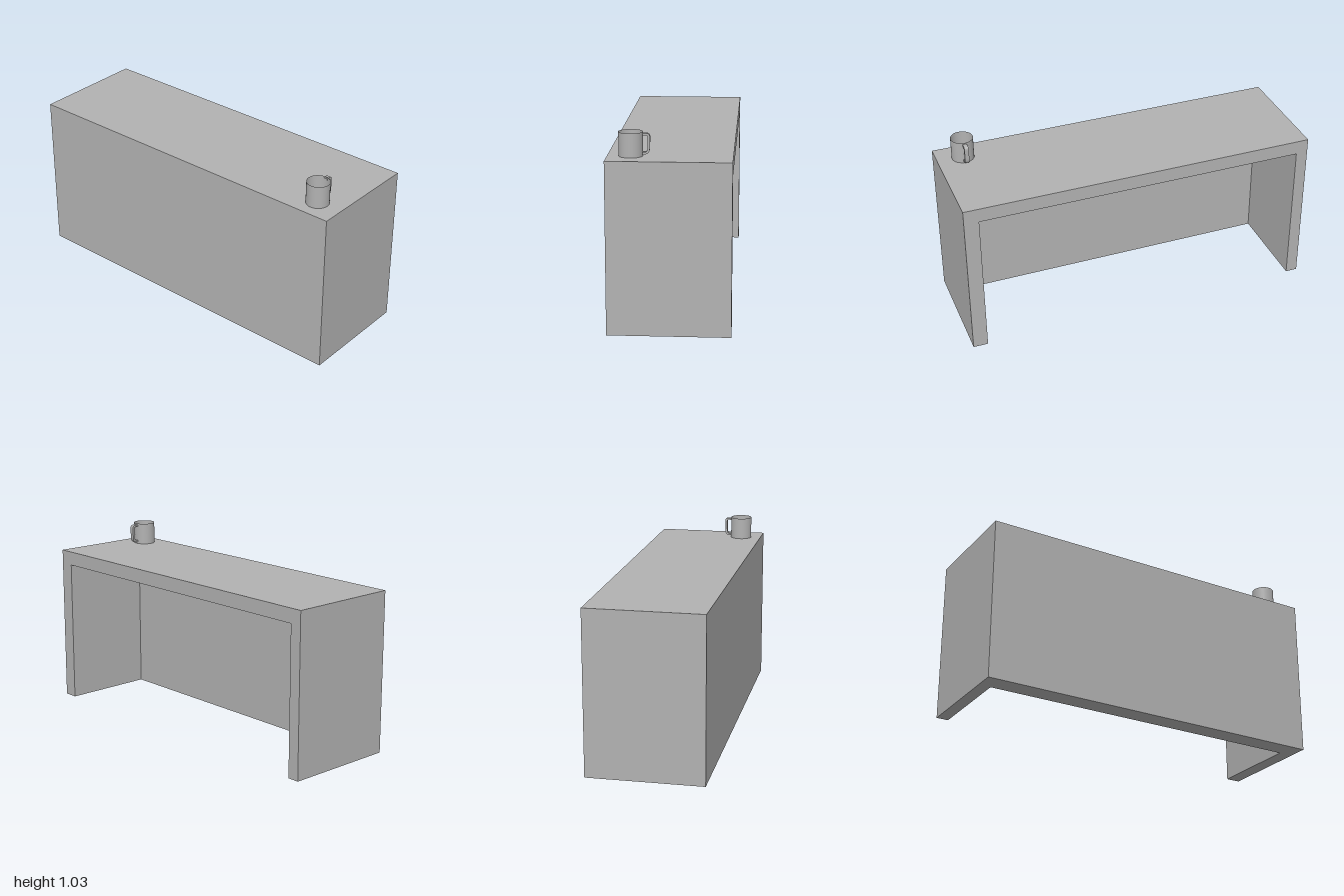
import * as THREE from 'three';

const material = new THREE.MeshStandardMaterial({ color: 0xb2b2b2 });
material.name = 'plain grey';
material.side = THREE.DoubleSide;

function addMesh(parent, name, geometry) {
  const mesh = new THREE.Mesh(geometry, material);
  mesh.name = name;
  parent.add(mesh);
  return mesh;
}

function createCounter() {
  const counter = new THREE.Group();
  counter.name = 'counter';
  const height = 0.91, halfDepth = 0.32, panelBack = 0.207;

  // Top and both side walls: an arch, open at the back and below
  const arch = new THREE.Shape([
    [-1, 0], [-0.933, 0], [-0.933, 0.83], [0.917, 0.83],
    [0.917, 0], [1, 0], [1, height], [-1, height],
  ].map(([x, y]) => new THREE.Vector2(x, y)));
  const archGeometry = new THREE.ExtrudeGeometry(arch, {
    depth: panelBack + halfDepth, bevelEnabled: false,
  });
  addMesh(counter, 'topAndSides', archGeometry).position.z = -halfDepth;

  // Thick closed front
  const thickness = halfDepth - panelBack;
  addMesh(counter, 'frontPanel', new THREE.BoxGeometry(2, height, thickness))
    .position.set(0, height / 2, panelBack + thickness / 2);
  return counter;
}

function createMug() {
  const mug = new THREE.Group();
  mug.name = 'mug';
  const radius = 0.062, height = 0.125;

  // Thin open cup: wall and floor
  addMesh(mug, 'mugWall',
    new THREE.CylinderGeometry(radius, radius, height, 32, 1, true)).position.y = height / 2;
  const floor = addMesh(mug, 'mugFloor', new THREE.CircleGeometry(radius, 32));
  floor.rotation.x = -Math.PI / 2;
  floor.position.y = 0.002;

  // Flat-strap handle, drawn in profile (outward, up) and extruded sideways
  const loop = new THREE.Shape();
  loop.moveTo(0.058, 0.117);
  loop.lineTo(0.082, 0.117);
  loop.quadraticCurveTo(0.099, 0.116, 0.099, 0.098);
  loop.lineTo(0.098, 0.04);
  loop.quadraticCurveTo(0.096, 0.011, 0.075, 0.01);
  loop.lineTo(0.058, 0.01);
  loop.lineTo(0.058, 0.021);
  loop.lineTo(0.074, 0.021);
  loop.quadraticCurveTo(0.085, 0.022, 0.086, 0.042);
  loop.lineTo(0.087, 0.096);
  loop.quadraticCurveTo(0.087, 0.106, 0.079, 0.107);
  loop.lineTo(0.058, 0.107);
  const width = 0.024;
  const handle = new THREE.ExtrudeGeometry(loop, {
    depth: width, bevelEnabled: false, curveSegments: 6,
  });
  handle.translate(0, 0, -width / 2);
  handle.rotateY(Math.PI / 2); // handle points to the back
  addMesh(mug, 'mugHandle', handle);

  mug.position.set(0.855, 0.91, 0.2);
  return mug;
}

export function createModel() {
  const model = new THREE.Group();
  model.name = 'counterWithMug';
  model.add(createCounter(), createMug());
  return model;
}
